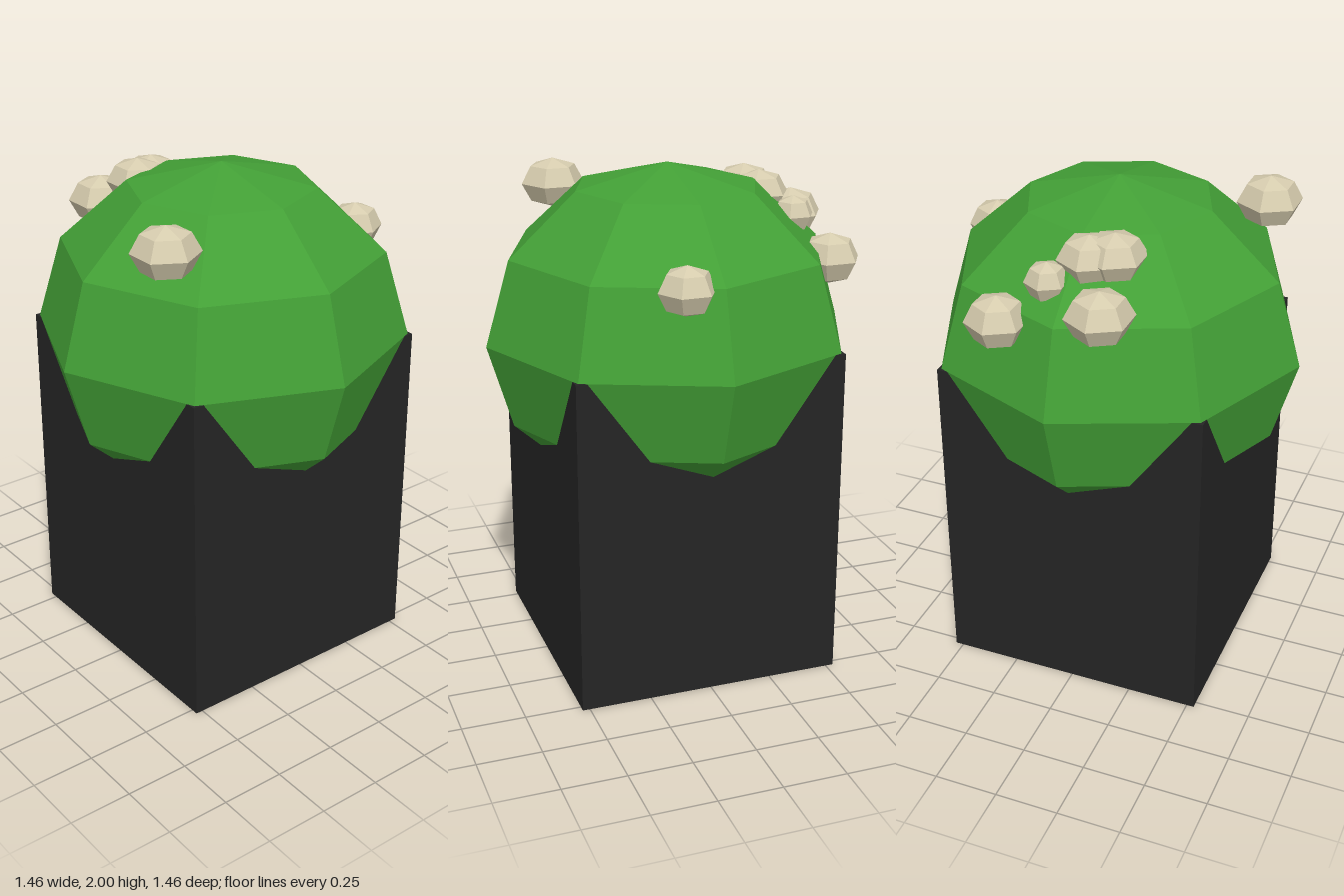
import * as THREE from 'three';

const material = (name, color) => {
  const m = new THREE.MeshStandardMaterial({ color, flatShading: true });
  m.name = name;
  return m;
};

export function createModel() {
  const group = new THREE.Group();
  const green = material('leaf green', 0x43a036);
  const black = material('black', 0x252525);
  const cream = material('cream', 0xd6ccae);
  const brown = material('bark brown', 0xa0522d);

  const add = (name, geometry, mat, x = 0, y = 0, z = 0) => {
    const mesh = new THREE.Mesh(geometry, mat);
    mesh.name = name;
    mesh.position.set(x, y, z);
    group.add(mesh);
    return mesh;
  };

  // Square block the crown rests on
  const side = 1.06, top = 1.333;
  add('block', new THREE.BoxGeometry(side, top, side), black, 0, top / 2, 0);

  // Faceted leafy crown
  add('crown', new THREE.SphereGeometry(1, 8, 6), green, 0, top, 0).scale.set(0.732, 0.667, 0.732);

  // Bark patches on the underside, as fractions of the block's width
  const patches = [
    [[0.61, 0.07], [0.34, 0.07], [0.07, 0.34], [0.05, 0.61], [0.27, 0.48], [0.5, 0.42], [0.48, 0.29], [0.87, 0.25]],
    [[0.78, 0.75], [0.43, 0.94], [0.61, 0.97], [0.78, 0.83]],
  ];
  for (const points of patches) {
    const shape = new THREE.Shape(points.map(([a, b]) => new THREE.Vector2((a - 0.5) * side, (b - 0.5) * side)));
    const plate = new THREE.ShapeGeometry(shape).rotateX(Math.PI / 2);
    add('barkPatch', plate, brown, 0, -0.002, 0);
  }

  // Low-poly blossoms: x, y, z, radius, half height
  const blossom = new THREE.SphereGeometry(1, 6, 4).rotateY(Math.PI / 2);
  const blossoms = [
    [-0.49, 1.845, 0.32, 0.13, 0.1],
    [0.575, 1.655, 0.125, 0.112, 0.095],
    [-0.16, 1.725, -0.59, 0.13, 0.1],
    [0.24, 1.63, -0.585, 0.122, 0.1],
    [0.08, 1.775, -0.495, 0.085, 0.075],
    [-0.13, 1.855, -0.37, 0.122, 0.09],
    [-0.045, 1.845, -0.4, 0.122, 0.09],
  ];
  for (const [x, y, z, r, h] of blossoms) {
    add('blossom', blossom, cream, x, y, z).scale.set(r, h, r);
  }
  return group;
}
